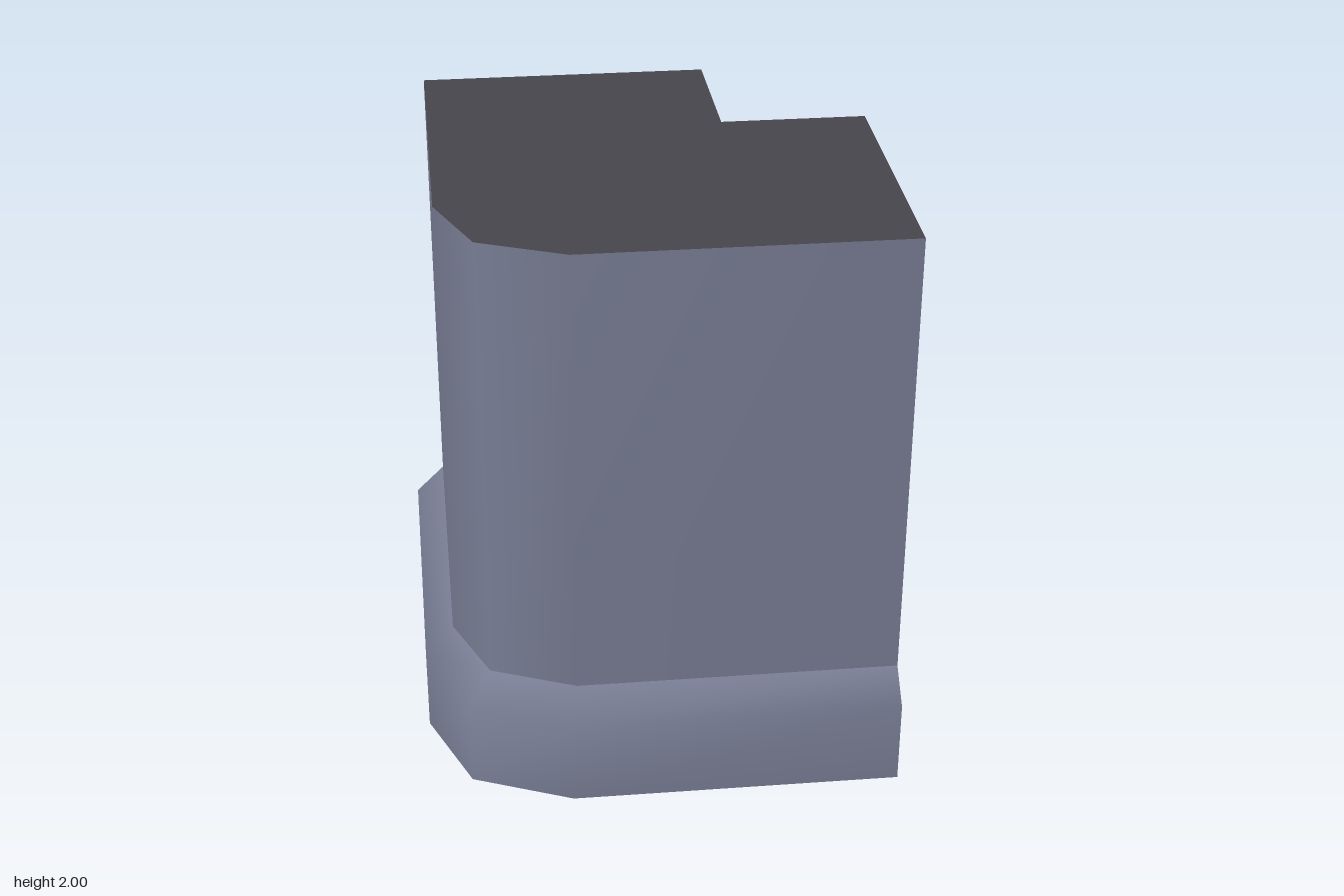
import * as THREE from 'three';

const wallMat = new THREE.MeshStandardMaterial({ name: 'blueGrey', color: 0x787d94 });
const darkMat = new THREE.MeshStandardMaterial({ name: 'darkGrey', color: 0x47464c });
const greenMat = new THREE.MeshStandardMaterial({ name: 'green', color: 0x48a078 });

// Plan outlines [x, z] of the wall and of its wider foot
const outerWall = [[-0.695, -0.805], [-0.704, 0.295], [-0.59, 0.573], [-0.305, 0.695], [0.79, 0.703]];
const outerFoot = [[-0.797, -0.805], [-0.803, 0.31], [-0.667, 0.647], [-0.33, 0.792], [0.79, 0.803]];
const innerWall = [[0.8, -0.294], [0.302, -0.298], [0.302, -0.798]];
const innerFoot = [[0.8, -0.395], [0.402, -0.398], [0.402, -0.798]];
const CHAMFER = 0.3, LEDGE = 0.4, STRIPE_TOP = 1.2, TOP = 2;

function mesh(name, geometry, material) {
  const m = new THREE.Mesh(geometry, material);
  m.name = name;
  return m;
}

function build(points, index) {
  const g = new THREE.BufferGeometry();
  g.setAttribute('position', new THREE.Float32BufferAttribute(points.flat(), 3));
  g.setIndex(index);
  g.computeVertexNormals();
  return g;
}

// Skin over outlines stacked at given heights, smooth within itself
function skin(levels) {
  const n = levels[0][0].length;
  const points = levels.flatMap(([outline, y]) => outline.map(([x, z]) => [x, y, z]));
  const index = [];
  for (let j = 0; j < levels.length - 1; j++) {
    for (let i = 0; i < n - 1; i++) {
      const a = j * n + i, b = a + 1, c = b + n, d = a + n;
      index.push(a, b, c, a, c, d);
    }
  }
  return build(points, index);
}

// Flat polygon facing along u cross v
function cap(points, project) {
  let pts = points;
  const flatten = (list) => list.map((p) => new THREE.Vector2(...project(p)));
  if (THREE.ShapeUtils.isClockWise(flatten(pts))) pts = [...pts].reverse();
  return build(pts, THREE.ShapeUtils.triangulateShape(flatten(pts), []).flat());
}

// Cross-section of the wall where it is cut off
function endProfile(o, i) {
  const at = ([x, z], y) => [x, y, z];
  return [
    at(outerFoot[o], 0), at(outerFoot[o], CHAMFER), at(outerWall[o], LEDGE), at(outerWall[o], TOP),
    at(innerWall[i], TOP), at(innerWall[i], LEDGE), at(innerFoot[i], CHAMFER), at(innerFoot[i], 0),
  ];
}

export function createModel() {
  const model = new THREE.Group();
  model.name = 'cornerWall';

  // Outer side with bevelled corner
  model.add(mesh('outerWall', skin([[outerWall, LEDGE], [outerWall, TOP]]), wallMat));
  model.add(mesh('outerFoot', skin([[outerFoot, 0], [outerFoot, CHAMFER], [outerWall, LEDGE]]), wallMat));

  // Two inner sides meeting in a sharp corner, with a green stripe
  for (let i = 0; i < 2; i++) {
    const wall = innerWall.slice(i, i + 2), foot = innerFoot.slice(i, i + 2);
    const side = new THREE.Group();
    side.name = i ? 'innerSideRear' : 'innerSideLeft';
    side.add(mesh('innerFoot', skin([[foot, 0], [foot, CHAMFER], [wall, LEDGE]]), wallMat));
    side.add(mesh('greenStripe', skin([[wall, LEDGE], [wall, STRIPE_TOP]]), greenMat));
    side.add(mesh('innerWall', skin([[wall, STRIPE_TOP], [wall, TOP]]), wallMat));
    model.add(side);
  }

  // Top, underside and the two cut ends
  const plan = (outline, y) => outline.map(([x, z]) => [x, y, z]);
  model.add(mesh('top', cap(plan([...outerWall, ...innerWall], TOP), ([x, , z]) => [x, -z]), darkMat));
  model.add(mesh('underside', cap(plan([...outerFoot, ...innerFoot], 0), ([x, , z]) => [x, z]), wallMat));
  model.add(mesh('leftEnd', cap(endProfile(4, 0), ([, y, z]) => [-z, y]), darkMat));
  model.add(mesh('rearEnd', cap(endProfile(0, 2), ([x, y]) => [-x, y]), darkMat));
  return model;
}
